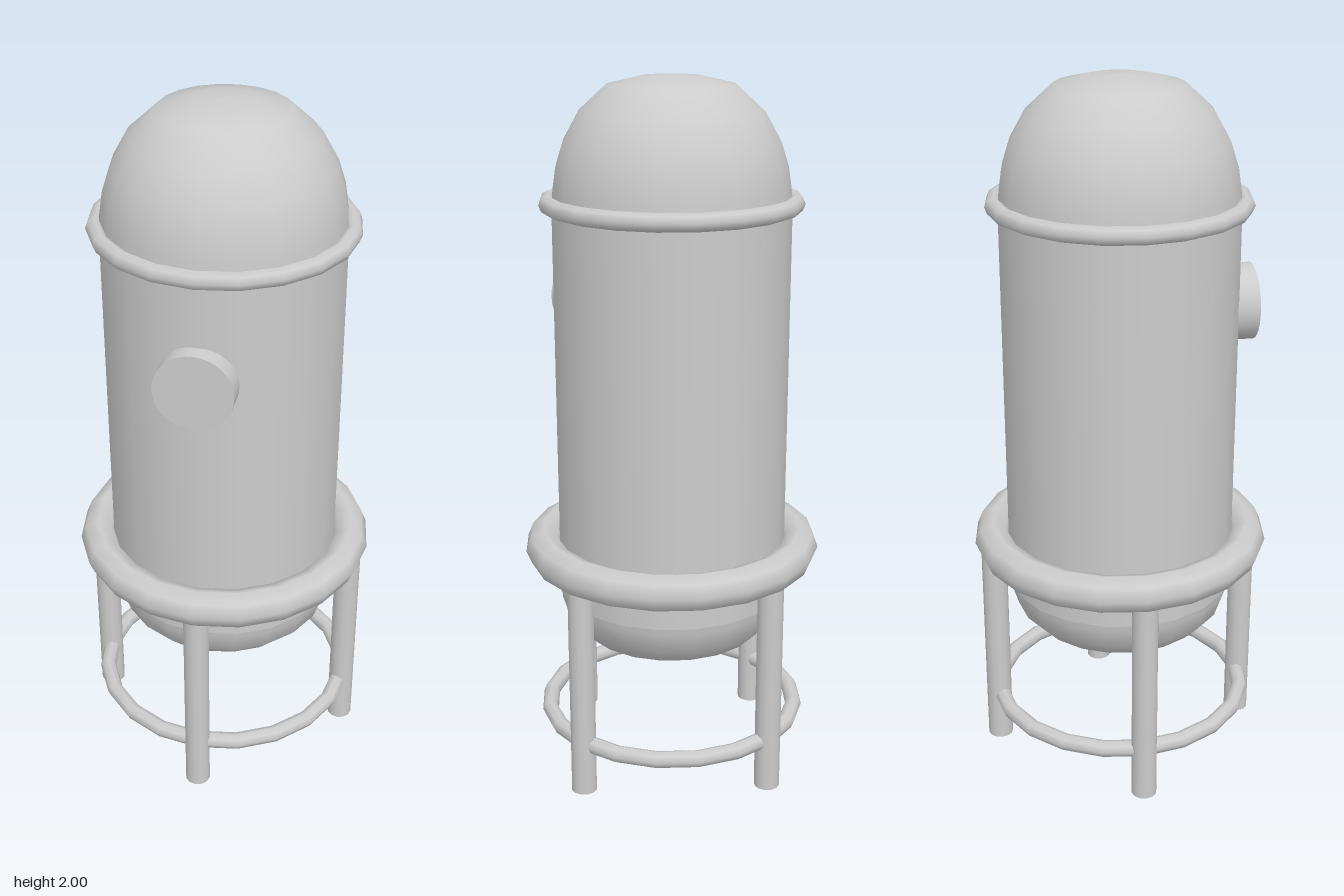
import * as THREE from 'three';

export function createModel() {
  const model = new THREE.Group();
  const material = new THREE.MeshStandardMaterial({ color: 0xcccccc });
  const add = (name, geometry, x = 0, y = 0, z = 0) => {
    const mesh = new THREE.Mesh(geometry, material);
    mesh.name = name;
    mesh.position.set(x, y, z);
    model.add(mesh);
    return mesh;
  };

  // Straight-walled vessel
  add('tankWall', new THREE.CylinderGeometry(0.33, 0.33, 1.13, 20, 1, true), 0, 1.095, 0);

  // Rounded ends, profiles running from bottom to top
  const cap = (name, profile) =>
    add(name, new THREE.LatheGeometry(profile.map(([r, y]) => new THREE.Vector2(r, y)), 20));
  cap('bottomCap', [
    [0, 0.367], [0.085, 0.368], [0.18, 0.375], [0.26, 0.401], [0.306, 0.45], [0.325, 0.51], [0.33, 0.56],
  ]);
  cap('topDome', [
    [0.33, 1.64], [0.326, 1.7], [0.317, 1.76], [0.296, 1.825], [0.252, 1.903],
    [0.175, 1.973], [0.085, 1.994], [0, 2],
  ]);

  // Horizontal hoops
  const hoop = (name, radius, tube, y) =>
    add(name, new THREE.TorusGeometry(radius, tube, 8, 20).rotateX(Math.PI / 2), 0, y, 0);
  hoop('domeBand', 0.34, 0.025, 1.66);
  hoop('supportRing', 0.375, 0.053, 0.663);
  hoop('legBrace', 0.37, 0.024, 0.148);

  // Four legs beneath the support ring
  for (let i = 0; i < 4; i++) {
    const a = (i * Math.PI) / 2;
    add('leg', new THREE.CylinderGeometry(0.037, 0.037, 0.625, 12),
      0.375 * Math.sin(a), 0.3125, 0.375 * Math.cos(a));
  }

  // Round port on the front
  add('port', new THREE.CylinderGeometry(0.108, 0.108, 0.075, 32).rotateX(Math.PI / 2), 0, 1.357, 0.3375);

  return model;
}
